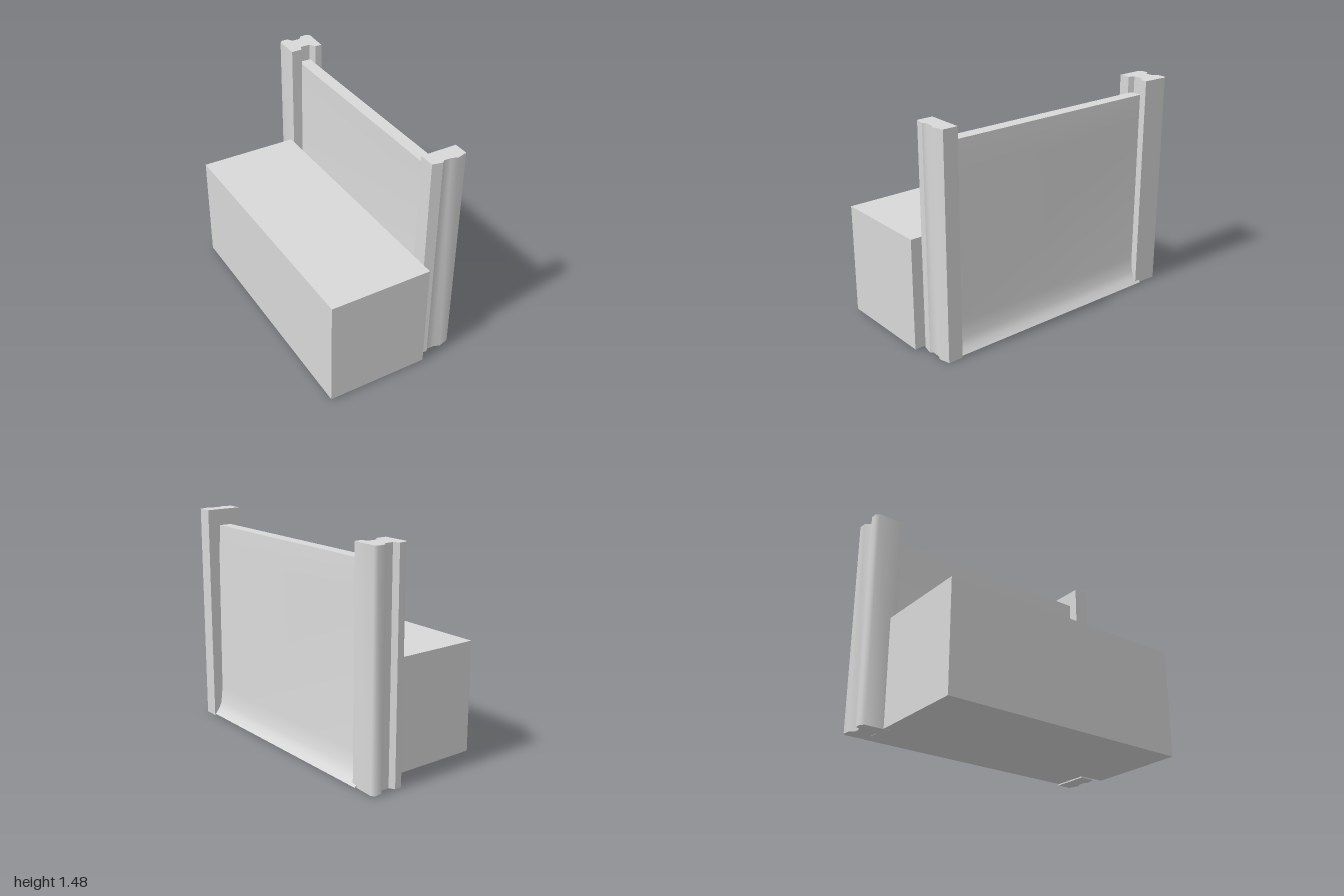
import * as THREE from 'three';
import { toCreasedNormals } from 'three/addons/utils/BufferGeometryUtils.js';

const toShape = (points) => new THREE.Shape(points.map(([a, b]) => new THREE.Vector2(a, b)));

// Upright prism from a plan outline of [x, z] points
function upright(points, y0, y1) {
  const shape = toShape(points.map(([x, z]) => [x, -z]));
  return new THREE.ExtrudeGeometry(shape, { depth: y1 - y0, bevelEnabled: false })
    .rotateX(-Math.PI / 2).translate(0, y0, 0);
}

// Long prism from a side profile of [z, y] points
function lengthwise(points, x0, x1) {
  const shape = toShape(points.map(([z, y]) => [-z, y]));
  return new THREE.ExtrudeGeometry(shape, { depth: x1 - x0, bevelEnabled: false })
    .rotateY(Math.PI / 2).translate(x0, 0, 0);
}

export function createModel() {
  const model = new THREE.Group();
  const body = new THREE.Group();
  body.name = 'bench';
  body.rotation.y = -Math.PI / 4;
  model.add(body);

  const stone = new THREE.MeshStandardMaterial({ color: 0xd8d8d8 });
  stone.name = 'light grey';

  const add = (name, geometry) => {
    const mesh = new THREE.Mesh(toCreasedNormals(geometry, 0.95), stone);
    mesh.name = name;
    body.add(mesh);
  };

  // Solid seat block
  add('seatBlock', new THREE.BoxGeometry(1.768, 0.745, 0.69).translate(0.051, 0.3815, 0.136));

  // Back panel: upright, with a narrow slot behind the seat and a flared foot at the rear
  add('backPanel', lengthwise([
    [-0.2, 0.009], [-0.2, 0.1], [-0.235, 0.1], [-0.28, 0.7], [-0.285, 1.372],
    [-0.37, 1.372], [-0.382, 1.18], [-0.392, 0.2], [-0.405, 0.09],
    [-0.425, 0.045], [-0.455, 0.009],
  ], -0.825, 0.79));

  // Right post, grooved on its outer end and slotted for the panel
  add('rightPost', upright([
    [-0.983, -0.431], [-0.965, -0.449], [-0.79, -0.442], [-0.79, -0.395],
    [-0.83, -0.37], [-0.83, -0.3], [-0.79, -0.285], [-0.79, -0.21],
    [-0.962, -0.21], [-0.983, -0.232], [-0.983, -0.276], [-0.948, -0.297],
    [-0.948, -0.354], [-0.979, -0.378],
  ], 0.007, 1.482));

  // Left post, narrower, with a shallow outer groove
  add('leftPost', upright([
    [0.757, -0.46], [0.757, -0.215], [0.863, -0.215], [0.877, -0.283],
    [0.861, -0.3], [0.861, -0.35], [0.877, -0.39], [0.858, -0.46],
  ], 0, 1.482));

  return model;
}
